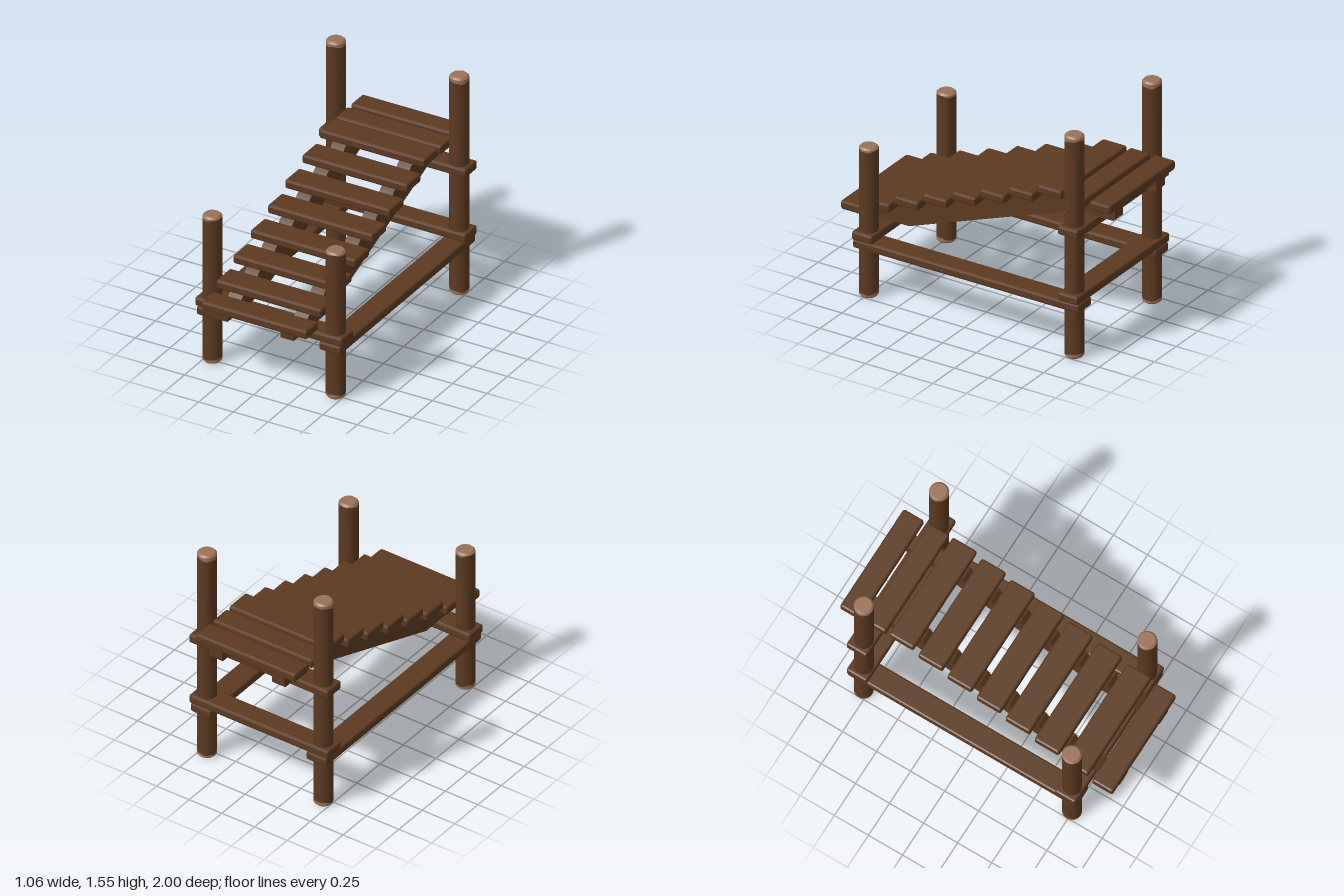
import * as THREE from 'three';
import { toCreasedNormals } from 'three/addons/utils/BufferGeometryUtils.js';
import { RoundedBoxGeometry } from 'three/addons/geometries/RoundedBoxGeometry.js';

export function createModel() {
  const model = new THREE.Group();
  model.name = 'woodenStairPlatform';
  const wood = new THREE.MeshStandardMaterial({ color: 0x5c3a21 });
  wood.name = 'darkWood';
  const cutWood = new THREE.MeshStandardMaterial({ color: 0x9a7259 });
  cutWood.name = 'cutWood';

  const add = (parent, geometry, material, name) => {
    const mesh = new THREE.Mesh(geometry, material);
    mesh.name = name;
    parent.add(mesh);
    return mesh;
  };

  // Chamfered board given by its minimum and maximum on each axis
  const board = (name, [x0, x1], [y0, y1], [z0, z1]) => {
    const g = new RoundedBoxGeometry(x1 - x0, y1 - y0, z1 - z0, 1, 0.013);
    g.computeVertexNormals();
    g.translate((x0 + x1) / 2, (y0 + y1) / 2, (z0 + z1) / 2);
    return add(model, g, wood, name);
  };

  // Round post: the bark ends along an uneven line near each cut end
  const R = 0.063, BEVEL = 0.012;
  const turned = (points, wavyRings, phase) => {
    const g = new THREE.LatheGeometry(points.map(p => new THREE.Vector2(...p)), 18);
    const pos = g.attributes.position;
    for (let i = 0; i < pos.count; i++) {
      if (!wavyRings.includes(i % points.length)) continue;
      const a = Math.atan2(pos.getX(i), pos.getZ(i));
      pos.setY(i, pos.getY(i) + 0.006 * Math.sin(2 * a + phase) + 0.003 * Math.sin(5 * a));
    }
    return toCreasedNormals(g, 0.6);
  };
  const post = (name, x, z, h, band, phase) => {
    const group = new THREE.Group();
    group.name = name;
    group.position.set(x, 0, z);
    const low = 0.03, high = h - band;
    add(group, turned([[R, low], [R, high]], [0, 1], phase), wood, 'postTrunk');
    add(group, turned([[R, high], [R, h - BEVEL], [R - BEVEL, h], [0, h]], [0], phase), cutWood, 'postTop');
    add(group, turned([[0, 0], [R - BEVEL, 0], [R, BEVEL], [R, low]], [3], phase), cutWood, 'postFoot');
    model.add(group);
  };

  // Stringer outline, drawn as (z, y): notched under each tread
  const stepZ = i => 0.64 - 0.2133 * i;      // rear edge of each sloping tread
  const stepY = i => 0.566 + 0.0752 * i;     // underside of each sloping tread
  const outline = [[0.995, 0.465], [0.995, 0.502], [0.85, 0.502], [0.84, 0.53], [0.79, stepY(0)]];
  for (let i = 0; i < 6; i++) {
    const z = stepZ(i), y = stepY(i);
    outline.push([z, y], [z - 0.004, y + 0.02], [z - 0.025, y + 0.058], [z - 0.055, stepY(i + 1)]);
  }
  outline.push([-0.965, 1.012], [-0.98, 1.0], [-0.98, 0.937], [-0.97, 0.925], [-0.7, 0.925], [0.55, 0.465]);

  for (const s of [-1, 1]) {
    const side = s > 0 ? 'left' : 'right';
    post(side + 'FrontPost', s * 0.446, 0.746, 1.048, 0.021, s);
    post(side + 'BackPost', s * 0.446, -0.782, 1.555, 0.035, s + 2);
    board(side + 'LowerRail', s > 0 ? [0.365, 0.52] : [-0.52, -0.365], [0.34, 0.4], [-0.86, 0.82]);

    const g = new THREE.ExtrudeGeometry(
      new THREE.Shape(outline.map(p => new THREE.Vector2(...p))),
      { depth: 0.096, bevelEnabled: false });
    g.rotateY(-Math.PI / 2);
    g.translate(s * 0.239 + 0.048, 0, 0);
    add(model, g, wood, side + 'Stringer');
  }

  // Cross beams joining the posts
  const across = [-0.532, 0.532];
  board('frontCrossBeam', across, [0.4, 0.46], [0.67, 0.82]);
  board('backCrossBeam', across, [0.4, 0.46], [-0.86, -0.71]);
  board('upperBackCrossBeam', across, [0.864, 0.925], [-0.86, -0.71]);

  // Treads and landing planks
  const tread = [-0.38, 0.38];
  board('bottomTread', tread, [0.5, 0.561], [0.848, 1]);
  for (let i = 0; i < 7; i++) {
    board('tread' + (i + 1), tread, [stepY(i), stepY(i) + 0.06], [stepZ(i), stepZ(i) + 0.179]);
  }
  board('landingPlank', tread, [1.011, 1.073], [-0.815, -0.666]);
  board('rearLandingPlank', tread, [1.011, 1.073], [-1, -0.85]);

  return model;
}
